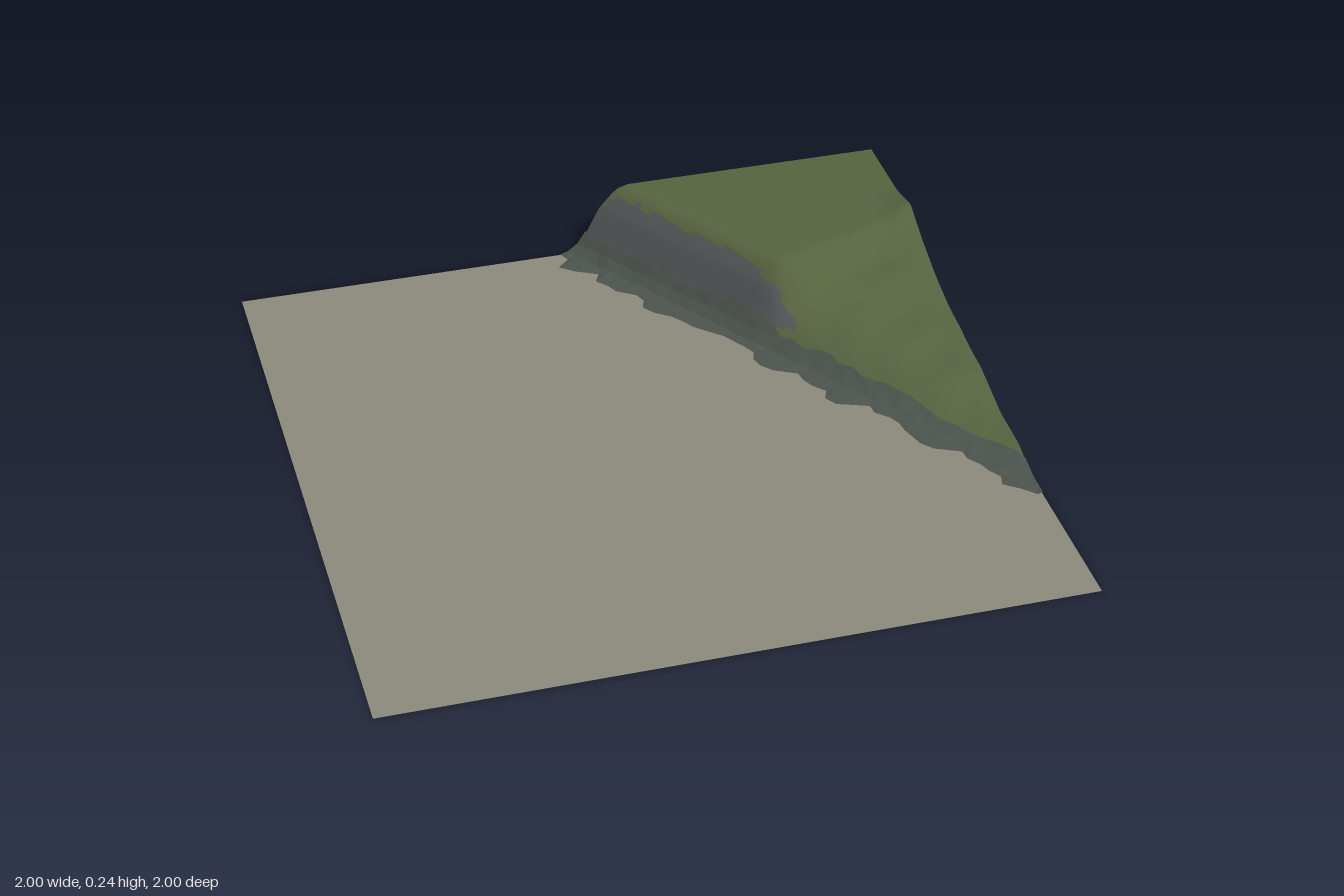
import * as THREE from 'three';

const ROWS = 74, COLS = 48, Z_END = 0.47;
const { smoothstep, lerp, clamp } = THREE.MathUtils;

// Foot of the cliff: a diagonal line across the square
const footX = z => 0.03 + 0.66 * (z + 1);

// Piecewise linear lookup through [position, value] pairs
function lookup(points, p) {
  for (let i = 1; i < points.length; i++) {
    const [a, va] = points[i - 1], [b, vb] = points[i];
    if (p <= b) return lerp(va, vb, clamp((p - a) / (b - a), 0, 1));
  }
  return points[points.length - 1][1];
}

const cliffProfile = [[0, 0], [0.02, 0.025], [0.05, 0.07], [0.09, 0.15], [0.13, 0.195], [0.15, 0.212], [0.18, 0.222]];
const rampProfile = [[-0.62, 0.17], [-0.4, 0.15], [-0.35, 0.135], [-0.25, 0.112], [-0.15, 0.102], [-0.08, 0.09],
  [0.03, 0.082], [0.1, 0.065], [0.2, 0.04], [0.35, 0.035], [0.47, 0]];
const bankTop = [[0.5, -0.46], [0.65, -0.52], [0.8, -0.55], [0.9, -0.6], [1, -0.63]];
const bankFoot = [[0.5, -0.33], [0.6, -0.36], [0.72, -0.43], [0.85, -0.5], [1, -0.4]];
const rise = t => 1 - Math.exp(-t / 0.1);

// Height of the hill: plateau behind a cliff, stepping down to a ramp
function height(x, z) {
  const t = Math.max(0, x - footX(z));
  const width = Math.max(0.001, 1 - footX(z));
  const knoll = 0.026 * Math.max(0, 1 - Math.abs(z + 0.62) / 0.13) * smoothstep(x, 0.9, 1);
  const high = lookup(cliffProfile, t) + knoll;
  const ripple = 0.005 * Math.sin(x * 23 + z * 9) * Math.sin(z * 19) * smoothstep(t, 0.05, 0.15) * smoothstep(1 - x, 0, 0.1);
  const low = lookup(rampProfile, z) * rise(t) / rise(width) + ripple;
  const top = lookup(bankTop, x), foot = lookup(bankFoot, x);
  const w = clamp((z - top) / (foot - top), 0, 1);
  return lerp(high, low, x > 0.95 ? w : smoothstep(w, 0, 1));
}

function makeRandom(seed) {
  return () => (seed = (seed * 16807) % 2147483647) / 2147483647;
}

function makeMesh(name, geometry, color, flatShading = false) {
  const material = new THREE.MeshStandardMaterial({ color, flatShading, side: THREE.DoubleSide, roughness: 1 });
  const mesh = new THREE.Mesh(geometry, material);
  mesh.name = name;
  return mesh;
}

function surface(positions, index) {
  const g = new THREE.BufferGeometry();
  g.setAttribute('position', new THREE.Float32BufferAttribute(positions, 3));
  g.setIndex(index);
  g.computeVertexNormals();
  return g;
}

// Hill sheet, split by rule into grass and bare rock face
function addHill(group) {
  const positions = [], grass = [], rock = [];
  const random = makeRandom(11);
  const rowZ = i => -1 + (1 + Z_END) * i / ROWS;
  const offset = (i, j) => Math.max(0.0001, 1 - footX(rowZ(i))) * Math.pow(j / COLS, 1.8);
  for (let i = 0; i <= ROWS; i++) {
    for (let j = 0; j <= COLS; j++) {
      const z = rowZ(i), x = Math.min(1, footX(z) + offset(i, j));
      positions.push(x, height(x, z), z);
    }
  }
  for (let i = 0; i < ROWS; i++) {
    const taper = Math.sqrt(clamp((-0.34 - rowZ(i)) / 0.25, 0, 1));
    const limit = 0.075 + 0.055 * taper + 0.015 * (random() - 0.5);
    for (let j = 0; j < COLS; j++) {
      const t = offset(i, j + 0.5);
      const isRock = taper > 0 && t < limit && t > 0.075 - 0.065 * taper;
      const a = i * (COLS + 1) + j, b = a + COLS + 1;
      (isRock ? rock : grass).push(a, b, a + 1, b, b + 1, a + 1);
    }
  }
  const whole = surface(positions, [...grass, ...rock]);
  for (const [name, index, color] of [['grassHill', grass, 0x56633f], ['rockFace', rock, 0x545557]]) {
    const g = whole.clone();
    g.setIndex(index);
    group.add(makeMesh(name, g, color));
  }
}

// Jagged rubble strip lapping over the foot of the cliff
function addRubble(group) {
  const positions = [], index = [], n = 44;
  const random = makeRandom(5);
  for (let i = 0; i <= n; i++) {
    const z = -1 + 1.55 * i / n;
    const offsets = [-0.035 - 0.075 * random(), -0.01, 0.02, 0.03 + 0.025 * random()];
    offsets.forEach((t, k) => {
      const x = Math.min(1, footX(z) + t);
      const lift = k === 0 ? 0.002 : 0.006 + 0.005 * random();
      positions.push(x, (z < Z_END ? height(x, z) : 0) + lift, z);
    });
    if (i === n) break;
    for (let k = 0; k < 3; k++) {
      const a = i * 4 + k, b = a + 4;
      index.push(a, b, a + 1, b, b + 1, a + 1);
    }
  }
  group.add(makeMesh('rubbleStrip', surface(positions, index), 0x4c544d, true));
}

export function createModel() {
  const group = new THREE.Group();
  group.name = 'cliffTerrain';

  // Flat ground, cut away beneath the hill (shape y becomes -z)
  const outline = [[-1, -1], [1, -1], [1, -Z_END], [footX(-1), 1], [-1, 1]];
  const shape = new THREE.Shape(outline.map(([x, y]) => new THREE.Vector2(x, y)));
  const ground = new THREE.ShapeGeometry(shape).rotateX(-Math.PI / 2);
  group.add(makeMesh('sandyGround', ground, 0x8c8a7b));

  addHill(group);
  addRubble(group);
  return group;
}
